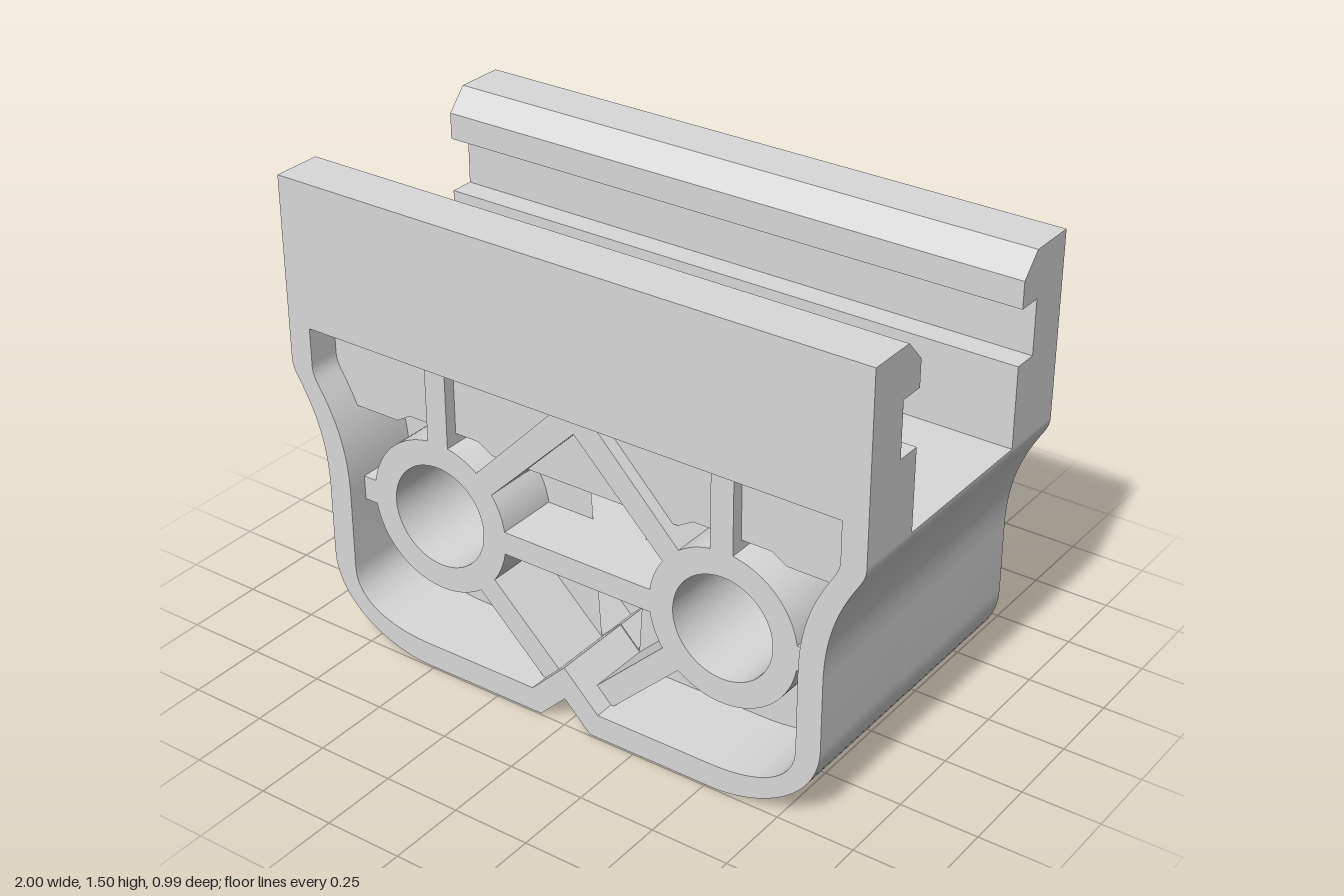
import * as THREE from 'three';
import { toCreasedNormals } from 'three/addons/utils/BufferGeometryUtils.js';

const V = (x, y) => new THREE.Vector2(x, y);

// Extrude a shape from z0 to z1 with smooth curves and sharp edges
function extrude(shape, z0, z1, curveSegments = 24) {
  const g = new THREE.ExtrudeGeometry(shape, { depth: z1 - z0, bevelEnabled: false, curveSegments });
  g.translate(0, 0, z0);
  return toCreasedNormals(g, Math.PI / 6);
}

// Closed symmetric outline from its right half
const mirrored = (half) => [
  ...half,
  ...half.filter((p) => Math.abs(p.x) > 1e-6).reverse().map((p) => V(-p.x, p.y)),
];
const poly = (pts) => new THREE.Shape(pts.map(([x, y]) => V(x, y)));
const flip = (pts) => pts.map(([x, y]) => [-x, y]);

function circlePath(x, y, r) {
  return new THREE.Path().absarc(x, y, r, 0, Math.PI * 2, true);
}

export function createModel() {
  const group = new THREE.Group();
  const grey = new THREE.MeshStandardMaterial({ color: 0xd9d9d9 });
  grey.name = 'light grey plastic';
  const add = (name, geometry) => {
    const mesh = new THREE.Mesh(geometry, grey);
    mesh.name = name;
    group.add(mesh);
    return mesh;
  };
  // The same extrusion at the front and at the back
  const addBoth = (name, shape, z0, z1) => {
    add(name + 'Front', extrude(shape, z0, z1));
    add(name + 'Back', extrude(shape, -z1, -z0));
  };

  // Depths from the middle plane: rim, ribs, upper block, web and slot
  const rimZ = 0.495, ribZ = 0.43, coreZ = 0.39, webZ = 0.22, slotZ = 0.072;
  const hubX = 0.508, hubY = 0.5;

  // Right halves of the body outline and of the pocket outline
  const outer = new THREE.Path().moveTo(1, 0.91)
    .bezierCurveTo(1, 0.88, 0.985, 0.86, 0.97, 0.835)
    .bezierCurveTo(0.91, 0.735, 0.88, 0.64, 0.88, 0.5).lineTo(0.88, 0.28)
    .bezierCurveTo(0.88, 0.1, 0.68, 0, 0.52, 0).lineTo(0.09, 0).lineTo(0, 0.09).getPoints(20);
  const inner = new THREE.Path().moveTo(0.92, 0.91)
    .bezierCurveTo(0.92, 0.88, 0.91, 0.865, 0.895, 0.84)
    .bezierCurveTo(0.83, 0.735, 0.8, 0.64, 0.8, 0.5).lineTo(0.8, 0.25)
    .bezierCurveTo(0.8, 0.12, 0.65, 0.08, 0.52, 0.08).lineTo(0.12, 0.08).lineTo(0, 0.2).getPoints(20);

  // Outer wall, open at the top
  const shell = new THREE.Shape([...mirrored(outer), ...mirrored(inner).reverse()]);
  addBoth('outerWall', shell, slotZ, rimZ);

  // Middle plate with the two slots in the underside
  const slotted = [...outer.filter((p) => p.y > 0.092), V(0.78, 0.09), V(0.2, 0.09),
    V(0.2, 0), V(0.09, 0), V(0, 0.09)];
  const middle = new THREE.Shape(mirrored(slotted));
  for (const s of [-1, 1]) middle.holes.push(circlePath(s * hubX, hubY, 0.2));
  add('middlePlate', extrude(middle, -slotZ, slotZ));

  // Inner web with a tapered central recess
  const web = new THREE.Shape(mirrored(inner));
  for (const s of [-1, 1]) web.holes.push(circlePath(s * hubX, hubY, 0.2));
  web.holes.push(new THREE.Path([V(0.11, 0.76), V(0.07, 0.135), V(0, 0.205), V(-0.07, 0.135), V(-0.11, 0.76)]));
  addBoth('web', web, slotZ, webZ);

  // Channel floor with clearances above the hubs
  const floorHalf = [V(0.94, 0.91), V(0.88, 0.75), V(0.69, 0.75), V(0.64, 0.78), V(0.38, 0.78), V(0.33, 0.75)];
  add('channelFloor', extrude(new THREE.Shape(mirrored(floorHalf)), -coreZ, coreZ));

  // Clamping rails along x, with undercut and chamfered lip
  const rail = poly([[0.27, 0.91], [coreZ, 0.91], [coreZ, 1.03], [rimZ, 1.03], [rimZ, 1.5], [0.335, 1.5],
    [0.27, 1.43], [0.27, 1.345], [0.35, 1.345], [0.35, 1.17], [0.27, 1.17]]);
  for (const s of [-1, 1]) {
    const m = add(s > 0 ? 'frontRail' : 'backRail', extrude(rail, -1, 1));
    m.rotation.y = s > 0 ? -Math.PI / 2 : Math.PI / 2;
    // Upright strips beside the pocket
    for (const x of [-0.96, 0.96]) {
      const strip = new THREE.BoxGeometry(0.08, 0.12, rimZ - coreZ);
      add('pocketSide', strip).position.set(x, 0.97, s * (rimZ + coreZ) / 2);
    }
  }

  // Hub tubes, set back from the rim
  for (const s of [-1, 1]) {
    const ring = new THREE.Shape().absarc(s * hubX, hubY, 0.25, 0, Math.PI * 2, false);
    ring.holes.push(circlePath(s * hubX, hubY, 0.168));
    add(s > 0 ? 'leftHub' : 'rightHub', extrude(ring, -ribZ, ribZ, 40));
  }

  // Ribs, set back from the rim: diamond, hub links and uprights
  const apex = poly([[0.04, 1.03], [-0.04, 1.03], [-0.36, 0.7], [-0.31, 0.64], [0, 0.95], [0.31, 0.64], [0.36, 0.7]]);
  addBoth('upperDiamond', apex, 0.3, ribZ);
  const leg = [[0.31, 0.64], [0.36, 0.7], [0.2, 0.865], [0.14, 0.81]];
  const lower = [[0.31, 0.36], [0.06, 0.12], [0.12, 0.07], [0.365, 0.305]];
  const side = [[0.74, 0.46], [0.82, 0.46], [0.82, 0.54], [0.74, 0.54]];
  const upright = [[0.465, 0.73], [0.54, 0.73], [0.54, 1.03], [0.465, 1.03]];
  for (const f of [(p) => p, flip]) {
    addBoth('upperDiamondLeg', poly(f(leg)), webZ, 0.3);
    addBoth('lowerDiamond', poly(f(lower)), slotZ, ribZ);
    addBoth('sideRib', poly(f(side)), webZ, ribZ);
    addBoth('uprightRib', poly(f(upright)), 0.3, ribZ);
  }
  addBoth('crossRib', poly([[-0.28, 0.46], [0.28, 0.46], [0.28, 0.535], [-0.28, 0.535]]), slotZ, ribZ);

  return group;
}
